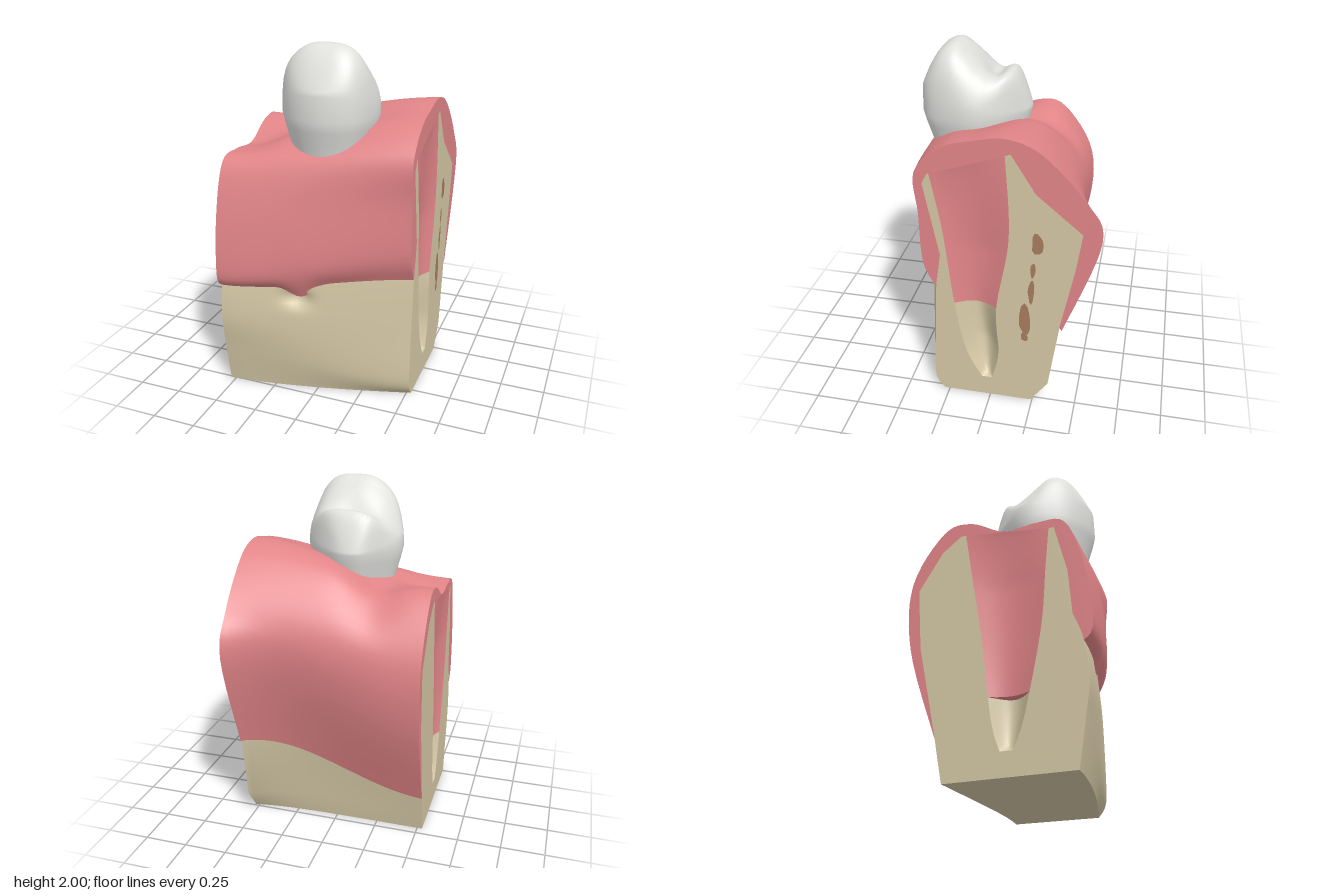
import * as THREE from 'three';
import { toCreasedNormals } from 'three/addons/utils/BufferGeometryUtils.js';

const X0 = -0.53, X1 = 0.525;
const { lerp, smoothstep } = THREE.MathUtils;
const bump = (d, width) => Math.exp(-((d / width) ** 2));
const mat = (name, color) => {
  const m = new THREE.MeshStandardMaterial({ color, side: THREE.DoubleSide });
  m.name = name;
  return m;
};

// surface through rows of equal point counts
function grid(rows, closed = false) {
  const n = rows[0].length, idx = [];
  for (let r = 0; r < rows.length - 1; r++)
    for (let c = 0; c < (closed ? n : n - 1); c++) {
      const a = r * n + c, b = r * n + (c + 1) % n;
      idx.push(a, b, a + n, b, b + n, a + n);
    }
  const g = new THREE.BufferGeometry();
  g.setAttribute('position', new THREE.Float32BufferAttribute(rows.flat(2), 3));
  g.setIndex(idx);
  g.computeVertexNormals();
  return g;
}

// smooth curve through [z, y] points
const smooth = (pts, n) => new THREE.SplineCurve(pts.map(p => new THREE.Vector2(...p)))
  .getPoints(n).map(p => [p.x, p.y]);

// end sections as [z, y]: gum runs over the crest, bone sides run up from the base,
// socket rows run downward as [back z, y, front z, y]
const rightEnd = { x: X0, dir: -1, gumDepth: 0.035, boneDepth: 0.08, split: 0.42 };
rightEnd.gum = [[.55, .64], [.605, .73], [.57, 1.07], [.47, 1.35], [.3, 1.38], [.12, 1.37],
  [-.08, 1.47], [-.25, 1.44], [-.43, 1.15], [-.42, .75], [-.25, .24]];
rightEnd.front = [[.51, 0], [.55, .25], [.575, .45], [.55, .66], [.5, .8], [.48, 1.05], [.41, 1.33]];
rightEnd.back = [[-.2, 0], [-.225, .12], [-.25, .25], [-.36, .75], [-.39, 1.1], [-.25, 1.32], [-.14, 1.4]];
rightEnd.socket = [[-.11, 1.4, .38, 1.33], [-.06, 1.1, .36, 1.1], [0, .75, .33, .75],
  [.06, .3, .24, .3], [.11, .13, .18, .13]];

const leftEnd = { x: X1, dir: 1, gumDepth: 0.045, boneDepth: 0.1, split: 0.65 };
leftEnd.gum = [[.31, .75], [.37, .9], [.38, 1.2], [.39, 1.44], [.25, 1.59], [.08, 1.645],
  [-.1, 1.67], [-.28, 1.6], [-.5, 1.37], [-.6, 1.13], [-.41, .54]];
leftEnd.front = [[.28, 0], [.33, .1], [.32, .4], [.3, .75], [.27, .95], [.35, 1.38], [.32, 1.44]];
leftEnd.back = [[-.24, 0], [-.34, .14], [-.4, .58], [-.47, .95], [-.5, 1.17], [-.25, 1.38], [-.12, 1.59]];
leftEnd.socket = [[-.09, 1.58, .31, 1.44], [-.11, 1.1, .25, 1.1], [-.04, .64, .2, .64],
  [-.05, .32, .14, .32], [-.01, .13, .05, .13]];

// blend the two end sections at x; the back flares only near the left end
function section(key, x) {
  const t = (x - X0) / (X1 - X0);
  const height = lerp(t, smoothstep(t, 0, 1), 0.8);
  return rightEnd[key].map((p, i) => {
    const q = leftEnd[key][i];
    const isFront = key === 'front' || (key === 'gum' && i < 6);
    const w = isFront ? Math.pow(t, 1.4) : Math.pow(t, 5);
    return [lerp(p[0], q[0], w), lerp(p[1], q[1], height)];
  });
}

// gum section with a saddle beside the tooth and a dip over the nerve opening
function gumSection(x) {
  const saddle = bump(x + 0.22, 0.15), dip = bump(x + 0.08, 0.08);
  return smooth(section('gum', x).map(([z, y], i) => {
    if (i === 0) return [z - 0.02 * dip, y - 0.08 * dip];
    if (i === 4 || i === 5) return [z, y + 0.03 * saddle];
    if (i === 6 || i === 7) return [z, y - 0.07 * saddle];
    return [z, y];
  }), 60);
}

// skin along x over the [z, y] sections
function skin(sectionAt, crease) {
  const rows = [];
  for (let i = 0; i <= 40; i++) {
    const x = lerp(X0, X1, i / 40);
    rows.push(sectionAt(x).map(([z, y]) => [x, y, z]));
  }
  return toCreasedNormals(grid(rows), crease);
}

// flat end plate from a [z, y] outline
function plate(points, e, offset = 0) {
  const g = new THREE.ShapeGeometry(new THREE.Shape(points.map(([z, y]) => new THREE.Vector2(-e.dir * z, y))));
  g.rotateY(e.dir * Math.PI / 2);
  g.translate(e.x + e.dir * offset, 0, 0);
  return g;
}

const socketEdge = (e, k) => smooth(e.socket.map(r => r.slice(k, k + 2)), 40);

// hollow between the two bone plates, deepest halfway across
function hollow(e, isUpper) {
  const b = socketEdge(e, 0), f = socketEdge(e, 2), rows = [];
  const cut = b.findIndex(p => p[1] <= e.split);
  const depth = isUpper ? e.gumDepth : e.boneDepth;
  for (let i = isUpper ? 0 : cut; i <= (isUpper ? cut : 40); i++) {
    const d = depth * Math.min(1, i / 12) * Math.min(1, Math.sqrt((40 - i) / 12));
    const row = [];
    for (let j = 0; j <= 14; j++) {
      const t = j / 14;
      row.push([e.x - e.dir * d * Math.sin(Math.PI * t), lerp(b[i][1], f[i][1], t), lerp(b[i][0], f[i][0], t)]);
    }
    rows.push(row);
  }
  // ledge under the gum filling
  if (isUpper) rows.push(rows[rows.length - 1].map(([, y, z]) => [e.x - e.dir * e.boneDepth * 1.1, y - 0.005, z]));
  return toCreasedNormals(grid(rows), 0.8);
}

// chewing surface: tall front cusp, groove, low back cusp
const ridge = new THREE.SplineCurve([[-.13, 1.66], [-.06, 1.82], [-.02, 1.852], [.05, 1.845], [.12, 1.89], [.2, 1.96],
  [.27, 2], [.36, 1.95], [.47, 1.77]].map(p => new THREE.Vector2(...p))).getPoints(800);
function crownHeight(x, z) {
  const top = (ridge.find(p => p.x >= z) ?? ridge[800]).y;
  const fall = 0.16 * Math.pow(Math.abs(x) / 0.25, x > 0 ? 3.5 : 2.3) * lerp(0.5, 1, smoothstep(z, -0.1, 0.25));
  return top - fall - 0.04 * bump(x + 0.02, 0.11) * bump(z - 0.07, 0.05);
}

function crown() {
  const cx = -0.01, cz = 0.17;
  const outline = new THREE.CatmullRomCurve3([[-.1, -.12], [0, -.125], [.1, -.07], [.2, .02], [.26, .12], [.265, .23],
    [.2, .4], [.05, .467], [-.1, .44], [-.22, .33], [-.29, .13], [-.2, -.02]]
    .map(([x, z]) => new THREE.Vector3(x - cx, 0, z - cz)), true).getSpacedPoints(72).slice(0, 72);
  // rings up the wall, then rings closing over a rounded rim
  const rows = [[.7, 1.25], [.8, 1.4], [.87, 1.48], [.95, 1.56], [1, 1.62]]
    .map(([s, y]) => outline.map(p => [cx + p.x * s, y, cz + p.z * s]));
  for (let i = 0; i <= 15; i++) {
    const s = 0.99 * (1 - Math.pow(i / 15, 1.3)), k = 1 - Math.pow(0.45, i);
    rows.push(outline.map(p => {
      const x = cx + p.x * s, z = cz + p.z * s;
      return [x, lerp(1.66 + 0.2 * z, crownHeight(x, z), k), z];
    }));
  }
  return grid(rows, true);
}

// ragged oval outline
function patch(z, y, halfWidth, halfHeight) {
  return Array.from({ length: 12 }, (_, k) => {
    const a = k * Math.PI / 6, r = 1 + 0.15 * Math.sin(k * 5 + y * 9);
    return [z + halfWidth * r * Math.cos(a), y + halfHeight * r * Math.sin(a)];
  });
}

export function createModel() {
  const model = new THREE.Group();
  const gum = mat('gum pink', 0xe28588), bone = mat('bone beige', 0xd4c7a5);
  const enamel = mat('enamel white', 0xe1e1de), marrow = mat('marrow brown', 0xa87c60);
  const add = (name, geometry, material) => {
    const mesh = new THREE.Mesh(geometry, material);
    mesh.name = name;
    model.add(mesh);
  };

  add('gum', skin(gumSection, 1), gum);

  // bone: front wall with a shallow nerve opening, back wall, base
  add('boneFront', skin(x => smooth(section('front', x).slice(0, 5), 40)
    .map(([z, y]) => [z - 0.05 * bump(x + 0.1, 0.075) * bump(y - 0.6, 0.045), y]), 1), bone);
  add('boneBack', skin(x => section('back', x).slice(0, 4), 0.6), bone);
  add('boneBase', skin(x => [section('back', x)[0], section('front', x)[0]], 0.6), bone);

  // cut faces and sockets at both ends
  for (const e of [rightEnd, leftEnd]) {
    const side = e === leftEnd ? 'Left' : 'Right';
    const top = e.socket[0];
    add('boneCut' + side, plate([...smooth(e.front.slice(0, 5), 40), ...e.front.slice(5),
      ...socketEdge(e, 2), ...socketEdge(e, 0).reverse(), ...[...e.back].reverse()], e), bone);
    add('gumCut' + side, plate([...smooth(e.gum, 60), ...e.back.slice(2),
      top.slice(0, 2), top.slice(2), ...e.front.slice(3).reverse()], e), gum);
    add('socketGum' + side, hollow(e, true), gum);
    add('socketBone' + side, hollow(e, false), bone);
  }

  // marrow patches on the left cut face
  for (const p of [[-.265, 1.085, .029, .07], [-.243, .92, .013, .05], [-.235, .78, .018, .075],
    [-.2, .585, .036, .1], [-.2, .465, .02, .03]])
    add('marrowPatch', plate(patch(...p), leftEnd, 0.004), marrow);

  add('toothCrown', crown(), enamel);
  return model;
}
